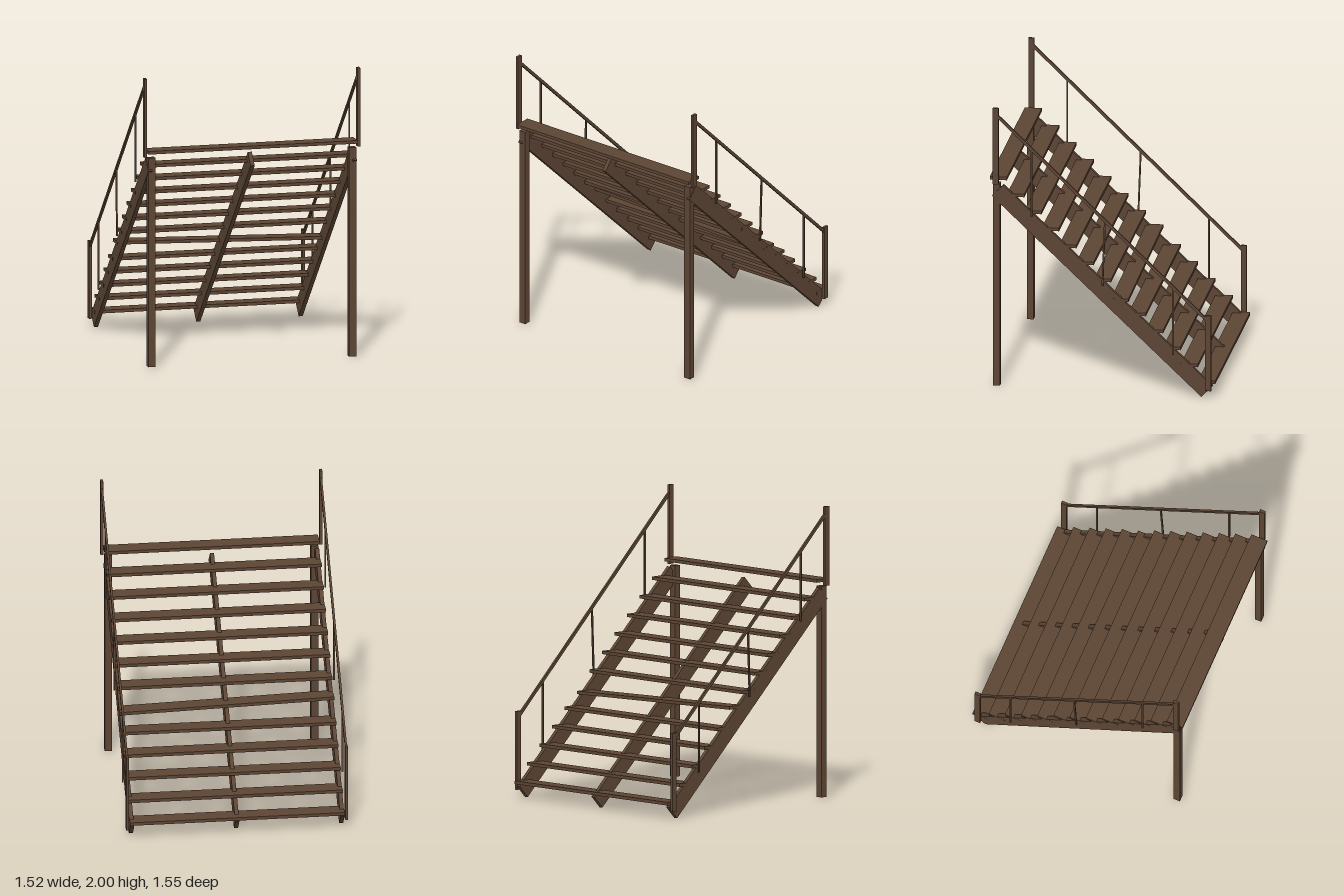
import * as THREE from 'three';

export function createModel() {
  const model = new THREE.Group();
  const wood = new THREE.MeshStandardMaterial({ color: 0x5c4534 });
  wood.name = 'brown wood';

  // Box of size w, h, d centred on x, y, z
  function box(name, w, h, d, x, y, z) {
    const mesh = new THREE.Mesh(new THREE.BoxGeometry(w, h, d), wood);
    mesh.name = name;
    mesh.position.set(x, y, z);
    model.add(mesh);
    return mesh;
  }

  // Sloping bar in the side plane at x, from (z0, y0) to (z1, y1)
  function bar(name, x, w, h, z0, y0, z1, y1) {
    const dz = z1 - z0, dy = y1 - y0;
    const mesh = box(name, w, h, Math.hypot(dz, dy), x, (y0 + y1) / 2, (z0 + z1) / 2);
    mesh.rotation.x = -Math.atan2(dy, dz);
    return mesh;
  }

  // Treads, with one that has worked loose and tilts
  const count = 13;
  for (let i = 0; i < count; i++) {
    const tread = box('tread', 1.47, 0.022, 0.118, 0, 0.105 + i * 0.1155, -0.716 + i * 0.1196);
    if (i === 5) tread.rotation.z = -0.0275;
  }

  // Stringers under the treads
  for (const x of [-0.72, 0, 0.72]) {
    bar('stringer', x, 0.028, 0.112, -0.718, 0.038, 0.725, 1.403);
  }

  for (const side of [-1, 1]) {
    // Tall support under the upper end
    box('supportPost', 0.05, 1.45, 0.046, side * 0.706, 0.725, 0.732);

    // Handrail with its end posts
    const x = side * 0.75;
    box('upperRailPost', 0.019, 0.545, 0.04, x, 1.7275, 0.735);
    box('lowerRailPost', 0.019, 0.54, 0.04, x, 0.32, -0.73);
    bar('handrail', x, 0.015, 0.02, -0.718, 0.558, 0.722, 1.943);

    // Thin balusters, the middle one leaning
    const bx = side * 0.752;
    bar('baluster', bx, 0.011, 0.011, 0.489, 1.235, 0.489, 1.715);
    bar('baluster', bx, 0.011, 0.011, -0.001, 0.765, -0.018, 1.235);
    bar('baluster', bx, 0.011, 0.011, -0.488, 0.295, -0.488, 0.775);
  }

  return model;
}
